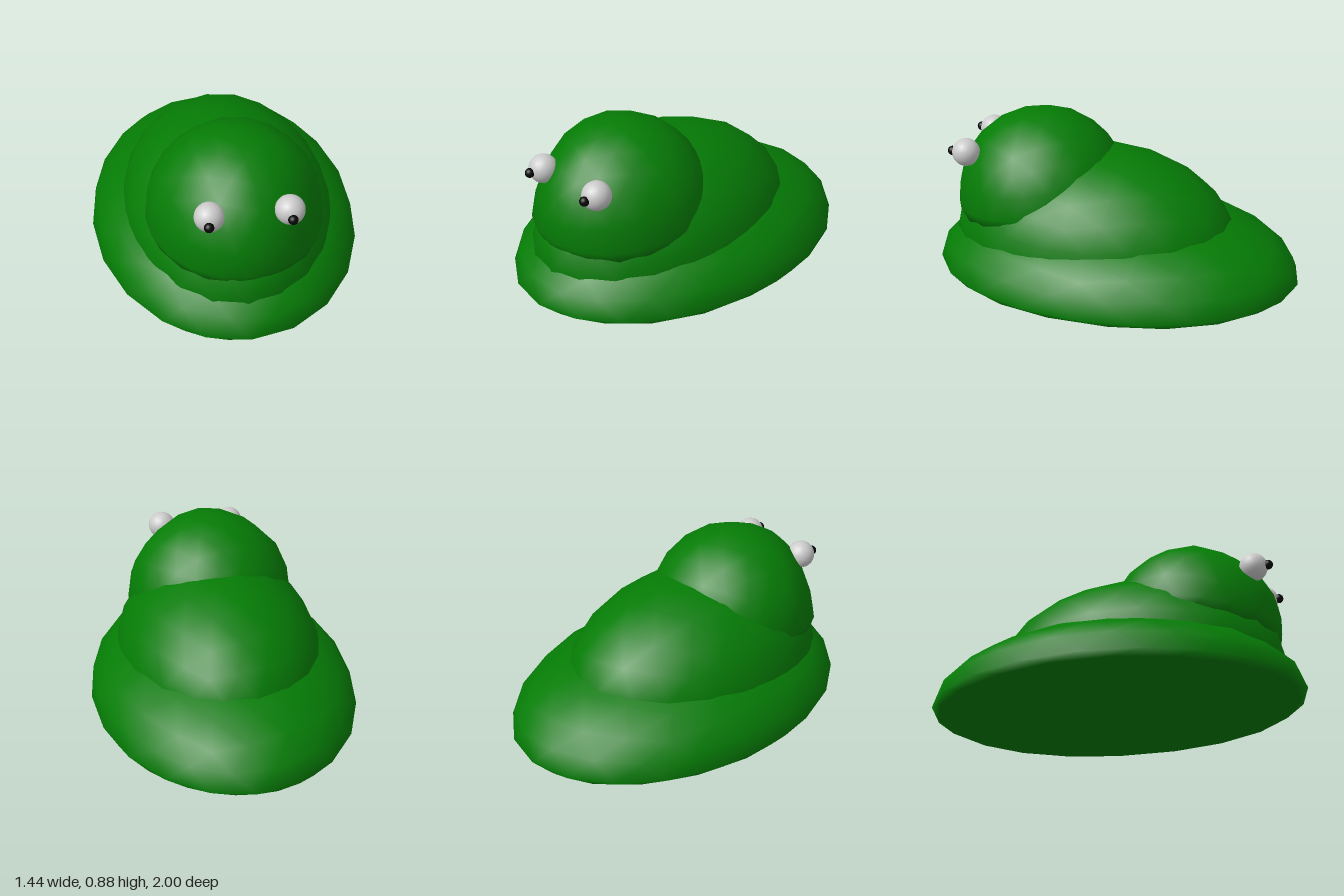
import * as THREE from 'three';

const green = new THREE.MeshStandardMaterial({ color: 0x057c05 });
const white = new THREE.MeshStandardMaterial({ color: 0xcccccc });
const black = new THREE.MeshStandardMaterial({ color: 0x050505 });

// Smooth icosphere of radius 1 with one corner turned to the top
function icosphere() {
  const golden = (1 + Math.sqrt(5)) / 2;
  return new THREE.IcosahedronGeometry(1, 3).rotateZ(-Math.atan(1 / golden));
}

// Icosphere flattened into a nearly flat underside below the height cut;
// taper narrows its upper front
function dome(cut, taper = 0) {
  const geometry = icosphere();
  const p = geometry.attributes.position;
  for (let i = 0; i < p.count; i++) {
    const y = p.getY(i);
    p.setX(i, p.getX(i) * (1 - taper * Math.max(0, y) * Math.max(0, p.getZ(i))));
    if (y < cut - 0.01) {
      p.setY(i, cut + (y - cut) * 0.04);
      geometry.attributes.normal.setXYZ(i, 0, -1, 0);
    }
  }
  return geometry;
}

function blob(name, material, radii, position, geometry = icosphere()) {
  const mesh = new THREE.Mesh(geometry, material);
  mesh.name = name;
  mesh.scale.set(...radii);
  mesh.position.set(...position);
  return mesh;
}

export function createModel() {
  const model = new THREE.Group();
  model.name = 'slug';

  // Three stacked lumps
  model.add(blob('foot', green, [0.72, 0.385, 1], [0, 0.042, 0], dome(-0.07)));
  model.add(blob('body', green, [0.562, 0.5, 0.78], [0, 0.195, 0.125], dome(-0.1)));
  const head = blob('head', green, [0.46, 0.465, 0.47], [0, 0.415, 0.42], dome(-0.13, 0.6));
  head.rotation.x = 0.13;
  model.add(head);

  // Bulging eyes with small pupils in front
  for (const [side, x, pupilX] of [['right', -0.177, -0.188], ['left', 0.216, 0.216]]) {
    model.add(blob(side + 'Eye', white, [0.075, 0.075, 0.075], [x, 0.67, 0.777]));
    model.add(blob(side + 'Pupil', black, [0.025, 0.025, 0.025], [pupilX, 0.67, 0.856]));
  }
  return model;
}
